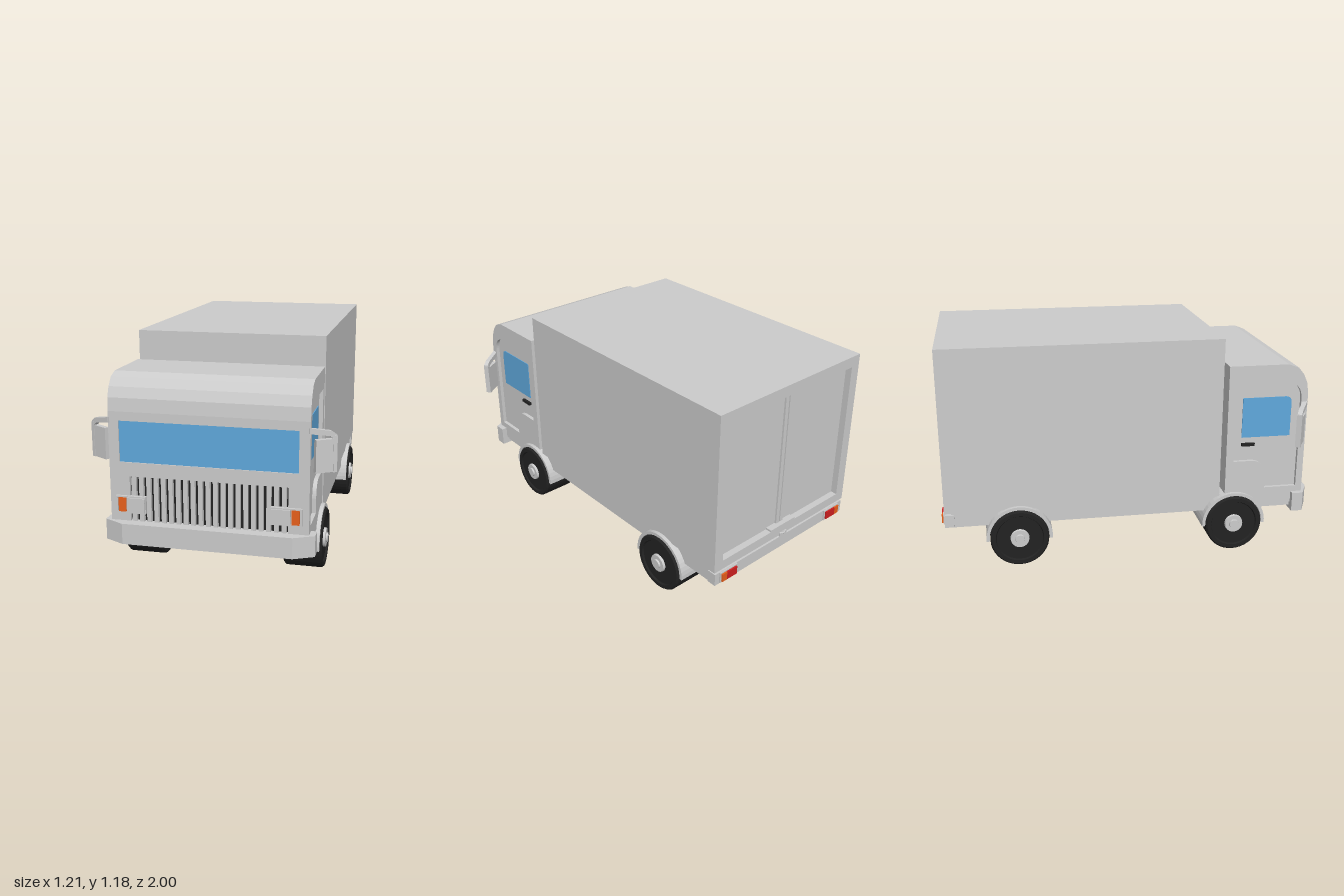
import * as THREE from 'three';

const mat = (color) => new THREE.MeshStandardMaterial({ color });
const GREY = mat(0xcccccc), BLACK = mat(0x222222), GLASS = mat(0x5fa8dc);
const ORANGE = mat(0xe8601c), RED = mat(0xd02020);

export function createModel() {
  const root = new THREE.Group();

  const add = (name, geometry, material = GREY, parent = root) => {
    const mesh = new THREE.Mesh(geometry, material);
    mesh.name = name;
    parent.add(mesh);
    return mesh;
  };
  // box given by its limits on each axis
  const box = (name, x0, x1, y0, y1, z0, z1, material, parent) => {
    const mesh = add(name, new THREE.BoxGeometry(Math.abs(x1 - x0), y1 - y0, z1 - z0), material, parent);
    mesh.position.set((x0 + x1) / 2, (y0 + y1) / 2, (z0 + z1) / 2);
    return mesh;
  };
  const extrude = (shape, depth) =>
    new THREE.ExtrudeGeometry(shape, { depth, bevelEnabled: false, curveSegments: 12 });
  // side profile drawn in (z, y), extruded across x and centred on cx
  const across = (shape, width, cx = 0) =>
    extrude(shape, width).rotateY(-Math.PI / 2).translate(cx + width / 2, 0, 0);
  const poly = (pts) => new THREE.Shape(pts.map(([x, y]) => new THREE.Vector2(x, y)));
  const rect = (x0, x1, y0, y1) => poly([[x0, y0], [x1, y0], [x1, y1], [x0, y1]]);

  // chassis
  box('chassis', -0.475, 0.475, 0.225, 0.315, -0.95, 0.92);
  box('rearBumper', -0.485, 0.485, 0.23, 0.297, -0.985, -0.935);

  // cargo box with a recessed rear opening
  box('cargoBox', -0.49, 0.49, 0.31, 1.183, -0.945, 0.485);
  const rearFrame = rect(-0.49, 0.49, 0.31, 1.183);
  rearFrame.holes.push(rect(-0.435, 0.435, 0.36, 1.125));
  add('rearFrame', extrude(rearFrame, 0.04).translate(0, 0, -0.985));
  for (const s of [1, -1]) {
    box('rearDoor', s * 0.004, s * 0.435, 0.36, 1.125, -0.95, -0.943);
    box('doorStrip', s * 0.004, s * 0.025, 0.36, 1.125, -0.96, -0.943);
  }
  box('doorStep', -0.09, 0.09, 0.345, 0.37, -0.985, -0.945);
  box('latchPlate', -0.025, 0.025, 0.305, 0.325, -0.993, -0.98);
  const latch = add('latchHook', new THREE.TorusGeometry(0.015, 0.005, 6, 12, Math.PI));
  latch.rotation.x = -Math.PI / 2;
  latch.position.set(0, 0.322, -0.98);

  // cab core, stepped back behind the front panel
  const roofCurve = [[0.95, 0.86], [0.943, 0.925], [0.922, 0.975], [0.89, 1.015], [0.835, 1.035]];
  const core = poly([[0.515, 0.25], [0.925, 0.25], [0.925, 0.83], [0.95, 0.83], ...roofCurve, [0.515, 1.035]]);
  add('cabBody', across(core, 0.94));

  // cab sides with door recesses
  const side = poly([[0.515, 0.25], [0.95, 0.25], ...roofCurve, [0.515, 1.035]]);
  const door = new THREE.Path();
  door.moveTo(0.557, 0.505);
  door.lineTo(0.557, 0.932);
  door.lineTo(0.845, 0.932);
  door.quadraticCurveTo(0.915, 0.925, 0.915, 0.84);
  door.lineTo(0.915, 0.345);
  door.lineTo(0.737, 0.345);
  door.lineTo(0.737, 0.42);
  door.quadraticCurveTo(0.73, 0.505, 0.65, 0.505);
  door.closePath();
  side.holes.push(door);

  const windowShape = new THREE.Shape();
  windowShape.moveTo(0.6, 0.635);
  windowShape.lineTo(0.868, 0.635);
  windowShape.lineTo(0.868, 0.82);
  windowShape.quadraticCurveTo(0.868, 0.855, 0.835, 0.855);
  windowShape.lineTo(0.6, 0.855);
  windowShape.closePath();

  // front panel with windscreen and grille openings
  const front = rect(-0.47, 0.47, 0.25, 0.83);
  front.holes.push(rect(-0.438, 0.438, 0.61, 0.815), rect(-0.39, 0.39, 0.3, 0.54));
  add('frontPanel', extrude(front, 0.025).translate(0, 0, 0.925));
  box('windscreen', -0.438, 0.438, 0.61, 0.815, 0.92, 0.944, GLASS);
  box('grilleBack', -0.39, 0.39, 0.3, 0.54, 0.92, 0.928, BLACK);
  for (let i = 0; i < 21; i++) {
    const x = -0.37 + i * 0.037;
    box('grilleBar', x - 0.011, x + 0.011, 0.3, 0.54, 0.925, 0.948);
  }

  // front bumper, chamfered in plan
  const bumper = poly([[-0.52, 0.89], [0.52, 0.89], [0.52, 0.95], [0.42, 1], [-0.42, 1], [-0.52, 0.95]]);
  add('frontBumper', extrude(bumper, 0.105).rotateX(Math.PI / 2).translate(0, 0.312, 0));

  // wheel parts, shared by all four corners
  const tyre = new THREE.LatheGeometry(
    [[0, -0.1], [0.145, -0.1], [0.155, -0.09], [0.155, 0.09], [0.147, 0.1], [0.127, 0.1], [0.122, 0.09],
      [0.06, 0.09], [0, 0.09]].map(([r, h]) => new THREE.Vector2(r, h)), 40);
  const tyreFlat = tyre.toNonIndexed();
  tyreFlat.computeVertexNormals();
  const hub = new THREE.CylinderGeometry(0.048, 0.052, 0.02, 24);
  const cap = new THREE.CylinderGeometry(0.024, 0.027, 0.012, 20);
  const arch = new THREE.Shape();
  arch.absarc(0, 0, 0.175, -0.06, Math.PI + 0.06, false);
  arch.absarc(0, 0, 0.158, Math.PI + 0.06, -0.06, true);

  for (const s of [1, -1]) {
    add('cabSide', across(side, 0.02, s * 0.48));
    add('sideWindow', across(windowShape, 0.008, s * 0.47), GLASS);
    box('doorHandle', s * 0.468, s * 0.485, 0.588, 0.604, 0.6, 0.672, BLACK);

    // wheels and fenders
    for (const z of [0.565, -0.6]) {
      const wheel = new THREE.Group();
      wheel.name = 'wheel';
      add('tyre', tyreFlat, BLACK, wheel);
      add('hub', hub, GREY, wheel).position.y = 0.093;
      add('hubCap', cap, GREY, wheel).position.y = 0.106;
      wheel.rotation.z = -s * Math.PI / 2;
      wheel.position.set(s * 0.42, 0.155, z);
      root.add(wheel);
      add('fender', across(arch, 0.215, s * 0.4025)).position.set(0, 0.155, z);
    }

    // headlight cluster: framed housing, lamp and indicator
    const bezel = rect(0.308, 0.46, 0.355, 0.442);
    bezel.holes.push(rect(0.318, 0.45, 0.363, 0.434));
    const frame = add('headlightFrame', extrude(bezel, 0.02));
    frame.position.set(s > 0 ? 0 : -0.768, 0, 0.943);
    box('headlightBase', s * 0.312, s * 0.456, 0.358, 0.438, 0.935, 0.953);
    box('headlamp', s * 0.312, s * 0.403, 0.362, 0.435, 0.945, 0.97);
    box('indicator', s * 0.408, s * 0.446, 0.362, 0.435, 0.945, 0.964, ORANGE);

    // tail lights
    box('tailLightHousing', s * 0.335, s * 0.455, 0.236, 0.295, -0.992, -0.98);
    box('tailLamp', s * 0.345, s * 0.415, 0.243, 0.288, -1, -0.985, RED);
    box('tailIndicator', s * 0.415, s * 0.447, 0.243, 0.288, -1, -0.985, ORANGE);

    // mirror: angled head with an outer bracket, hung from an arm
    const mirror = new THREE.Group();
    mirror.name = 'mirror';
    mirror.position.set(s * 0.55, 0, 0.898);
    mirror.rotation.y = s * 0.55;
    box('mirrorHead', -s * 0.05, s * 0.037, 0.612, 0.77, -0.012, 0.012, GREY, mirror);
    box('mirrorBracket', s * 0.037, s * 0.056, 0.61, 0.785, -0.014, 0.014, GREY, mirror);
    const arm = poly([[-0.085, 0.803], [0.02, 0.785], [0.037, 0.77], [0.056, 0.77], [0.054, 0.79],
      [0.03, 0.808], [-0.085, 0.83]].map(([x, y]) => [s * x, y]));
    add('mirrorArm', extrude(arm, 0.024).translate(0, 0, -0.012), GREY, mirror);
    root.add(mirror);
  }
  return root;
}
